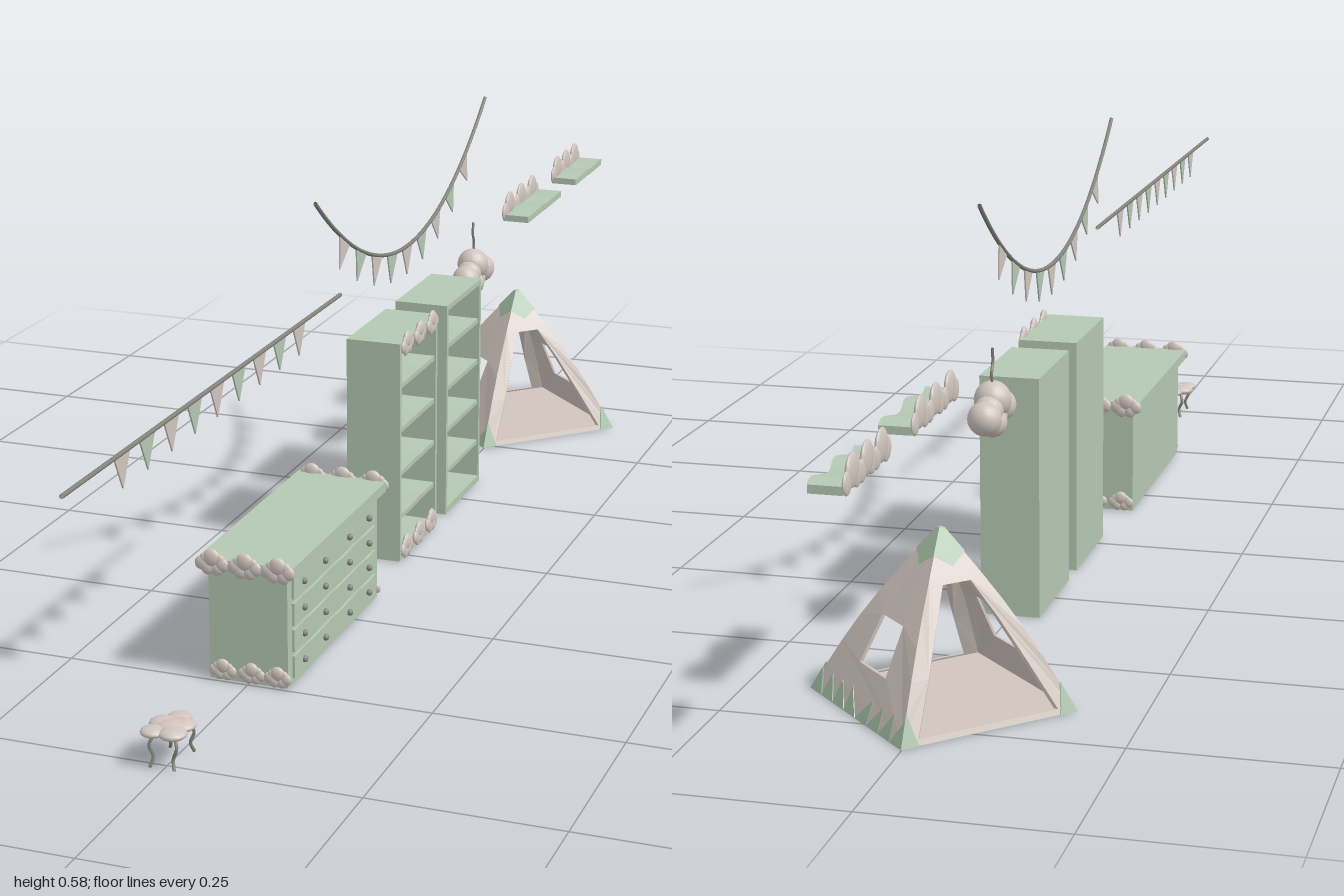
import * as THREE from 'three';

const mat = (color) => new THREE.MeshStandardMaterial({ color, side: THREE.DoubleSide });
const green = mat(0xb4c8b2), beige = mat(0xd0c5be), dark = mat(0x85857d);
const flatBeige = beige.clone(), flatGreen = mat(0xa3bda3);
flatBeige.flatShading = flatGreen.flatShading = true;

function add(parent, name, geometry, material, x = 0, y = 0, z = 0) {
  const mesh = new THREE.Mesh(geometry, material);
  mesh.name = name;
  mesh.position.set(x, y, z);
  parent.add(mesh);
  return mesh;
}

function part(parent, name, x = 0, y = 0, z = 0) {
  const g = new THREE.Group();
  g.name = name;
  g.position.set(x, y, z);
  parent.add(g);
  return g;
}

const box = (w, h, d) => new THREE.BoxGeometry(w, h, d);

// Board running along z whose height and front edge ripple
function wavyBoard(w, h, d, rise, edge, waves) {
  const g = new THREE.BoxGeometry(w, h, d, 4, 1, 24);
  const p = g.attributes.position;
  for (let i = 0; i < p.count; i++) {
    const s = Math.sin((p.getZ(i) / d) * Math.PI * 2 * waves);
    const front = p.getX(i) / w + 0.5;
    p.setY(i, p.getY(i) + rise * s * (0.4 + 0.6 * front));
    p.setX(i, p.getX(i) + edge * s * front);
  }
  g.computeVertexNormals();
  return g;
}

// Puffs of one cloud: across, up, radius
const PUFFS = [[0, 0.008, 0.012], [-0.014, 0, 0.0095], [0.014, 0, 0.0095],
  [-0.006, -0.006, 0.009], [0.007, -0.006, 0.009], [-0.009, 0.006, 0.008], [0.01, 0.006, 0.008]];

// Flat cloud facing +z before turning
function cloud(parent, x, y, z, turn = 0, size = 1, flat = 0.5) {
  const g = part(parent, 'cloudTrim', x, y, z);
  g.rotation.y = turn;
  for (const [u, v, r] of PUFFS) {
    add(g, 'cloudPuff', new THREE.SphereGeometry(r * size, 14, 10), beige, u * size, v * size, 0).scale.z = flat;
  }
}

// Rope with nine pennants
function bunting(parent, name, curve, first, last) {
  const g = part(parent, name);
  add(g, 'rope', new THREE.TubeGeometry(curve, 40, 0.0028, 8), dark);
  const flag = new THREE.Shape([[-0.021, 0], [0, -0.042], [0.021, 0]].map((p) => new THREE.Vector2(...p)));
  const geo = new THREE.ExtrudeGeometry(flag, { depth: 0.002, bevelEnabled: false }).translate(0, 0, -0.001);
  for (let i = 0; i < 9; i++) {
    const t = first + ((last - first) * i) / 8;
    const at = curve.getPoint(t), dir = curve.getTangent(t);
    const m = add(g, 'pennant', geo, i % 2 ? green : beige, at.x, at.y, at.z);
    m.rotation.set(0, Math.PI / 2, Math.atan2(dir.y, -dir.z));
  }
}

function stool(parent) {
  const g = part(parent, 'stool', 0, 0, 0.735);
  // Cloud shaped seat
  for (const [x, z, r] of [[-0.016, 0.018, 0.016], [0.009, 0.016, 0.018], [-0.014, -0.008, 0.018],
    [0.01, -0.01, 0.017], [-0.002, -0.028, 0.016], [0, 0, 0.02]]) {
    add(g, 'seat', new THREE.SphereGeometry(r, 16, 10), beige, x, 0.043, z).scale.y = 0.4;
  }
  for (const sx of [-1, 1]) for (const sz of [-1, 1]) {
    const path = new THREE.CatmullRomCurve3([[0.013, 0.042, 0.02], [0.018, 0.028, 0.026], [0.013, 0.014, 0.025],
      [0.016, 0.001, 0.03]].map(([x, y, z]) => new THREE.Vector3(x * sx, y, z * sz)));
    add(g, 'leg', new THREE.TubeGeometry(path, 10, 0.0022, 6), dark);
  }
}

function dresser(parent) {
  const g = part(parent, 'dresser', 0, 0, 0.33);
  add(g, 'body', box(0.108, 0.155, 0.33), green, 0, 0.0775, 0);
  add(g, 'top', box(0.13, 0.014, 0.348), green, 0, 0.161, 0);
  for (let row = 0; row < 4; row++) {
    const y = 0.024 + row * 0.036;
    add(g, 'drawer', wavyBoard(0.005, 0.03, 0.3, 0.0015, 0.001, 3), green, 0.055, y, 0);
    for (const z of [-0.12, -0.045, 0.045, 0.12]) {
      add(g, 'knob', new THREE.SphereGeometry(0.0045, 10, 8), dark, 0.0595, y, z);
    }
  }
  // Cloud trim on both ends
  for (const s of [-1, 1]) {
    for (const x of [-0.045, 0, 0.045]) cloud(g, x, 0.161, s * 0.174, 0, 1);
    for (const x of [-0.036, 0.004, 0.04]) cloud(g, x, 0.012, s * 0.166, 0, 0.82);
  }
}

function bookcase(parent, z, trimmed) {
  const g = part(parent, 'bookcase', 0, 0, z);
  add(g, 'back', box(0.006, 0.325, 0.16), green, -0.037, 0.1625, 0);
  for (const s of [-1, 1]) add(g, 'side', box(0.08, 0.325, 0.007), green, 0, 0.1625, s * 0.0775);
  add(g, 'top', box(0.08, 0.008, 0.16), green, 0, 0.321, 0);
  add(g, 'bottom', box(0.08, 0.01, 0.16), green, 0, 0.005, 0);
  for (let i = 1; i < 5; i++) {
    add(g, 'shelf', wavyBoard(0.076, 0.007, 0.15, 0.003, 0.003, 1), green, 0, i * 0.065, 0);
  }
  if (!trimmed) return;
  for (const dz of [-0.054, 0, 0.054]) {
    cloud(g, 0.041, 0.318, dz, Math.PI / 2, 1, 0.4);
    cloud(g, 0.041, 0.014, dz, Math.PI / 2, 1, 0.4);
  }
}

// Wall shelf with a cloud backboard
function wallShelf(parent, z, length) {
  const g = part(parent, 'wallShelf', 0, 0.362, z);
  add(g, 'board', wavyBoard(0.04, 0.01, length, 0.003, 0.003, 2), green, 0.024, 0, 0);
  const n = 9;
  for (let i = 0; i < n; i++) {
    const r = [0.014, 0.02, 0.015][i % 3];
    const m = add(g, 'cloudBack', new THREE.SphereGeometry(r, 14, 10), beige, 0.003, [0.006, 0.016, 0.007][i % 3],
      (i / (n - 1) - 0.5) * (length - 0.022));
    m.scale.x = 0.25;
  }
}

function pendant(parent) {
  const g = part(parent, 'hangingCloud', -0.004, 0.3, -0.43);
  for (const [x, y, z, r] of [[0, 0.02, 0, 0.024], [0, 0.004, 0.035, 0.021], [0, 0.004, -0.038, 0.022],
    [0.004, -0.006, 0.015, 0.019], [-0.004, -0.006, -0.016, 0.019], [0, 0.01, 0.019, 0.019], [0, 0.01, -0.02, 0.019]]) {
    add(g, 'puff', new THREE.SphereGeometry(r, 18, 12), beige, x, y, z);
  }
  const cord = new THREE.CatmullRomCurve3([[0, 0.04, -0.002], [0, 0.055, -0.004], [0, 0.068, 0.002], [0, 0.086, 0]]
    .map((p) => new THREE.Vector3(...p)));
  add(g, 'cord', new THREE.TubeGeometry(cord, 12, 0.002, 6), dark);
}

// Tent cloth: u runs -1..1 between the ridges, t runs 0..1 up to the peak
const HALF = 0.118, PEAK = 0.222;
function cloth(parent, name, outline, hole, material, lift, thick) {
  const v = (p) => new THREE.Vector2(...p);
  const shape = new THREE.Shape(outline.map(v));
  if (hole) shape.holes.push(new THREE.Path(hole.map(v)));
  const g = new THREE.ExtrudeGeometry(shape, { depth: thick, bevelEnabled: false });
  const p = g.attributes.position;
  for (let i = 0; i < p.count; i++) {
    const t = p.getY(i), r = HALF * (1 - t) + 0.008 * Math.sin(Math.PI * t) + lift + p.getZ(i) - thick;
    p.setXYZ(i, p.getX(i) * r, t * PEAK, r);
  }
  g.computeVertexNormals();
  add(parent, name, g, material);
}

function tent(parent) {
  const g = part(parent, 'tent', 0, 0, -0.652);
  const rise = [0, 0.15, 0.3, 0.45, 0.6, 0.75, 0.88, 0.985];
  const outline = [...rise.map((t) => [1, t]), ...rise.slice().reverse().map((t) => [-1, t])];
  const door = [[-0.82, 0.03], [-0.74, 0.3], [-0.66, 0.52], [-0.48, 0.72], [0.48, 0.72], [0.66, 0.52], [0.74, 0.3], [0.82, 0.03]];
  const window = [[-0.36, 0.25], [-0.4, 0.51], [0.4, 0.51], [0.36, 0.25]];
  for (let k = 0; k < 4; k++) {
    const side = part(g, 'tentSide');
    side.rotation.y = Math.PI / 4 + (k * Math.PI) / 2;
    const open = k % 2 === 0;
    cloth(side, 'tentCloth', outline, open ? door : window, flatBeige, 0, 0.004);
    // Green peak and hem patches
    cloth(side, 'peakPatch', [[-1, 0.86], [0, 0.8], [1, 0.86], [1, 0.985], [-1, 0.985]], null, flatGreen, 0.0015, 0.001);
    if (open) {
      for (const s of [-1, 1]) cloth(side, 'hemPatch', [[s, 0], [s, 0.16], [s * 0.84, 0.03], [s * 0.8, 0]], null, flatGreen, 0.0015, 0.001);
    } else {
      for (let i = 0; i < 8; i++) {
        const u = -1 + i * 0.25;
        cloth(side, 'hemPatch', [[u, 0], [u + 0.25, 0], [u + (i < 4 ? 0 : 0.25), 0.13]], null, flatGreen, 0.0015, 0.001);
      }
    }
  }
  add(g, 'floor', box(HALF * 2 - 0.006, 0.004, HALF * 2 - 0.006), beige, 0, 0.002, 0).rotation.y = Math.PI / 4;
}

export function createModel() {
  const model = new THREE.Group();
  model.name = 'playroomSet';
  const P = (y, z) => new THREE.Vector3(0, y, z);
  bunting(model, 'straightBunting', new THREE.LineCurve3(P(0.428, 1), P(0.428, 0.16)), 0.18, 0.82);
  bunting(model, 'saggingBunting', new THREE.QuadraticBezierCurve3(P(0.575, 0.25), P(0.282, -0.11), P(0.575, -0.47)), 0.15, 0.85);
  stool(model);
  dresser(model);
  bookcase(model, -0.05, true);
  bookcase(model, -0.255, false);
  pendant(model);
  tent(model);
  wallShelf(model, -0.657, 0.185);
  wallShelf(model, -0.917, 0.16);
  return model;
}
